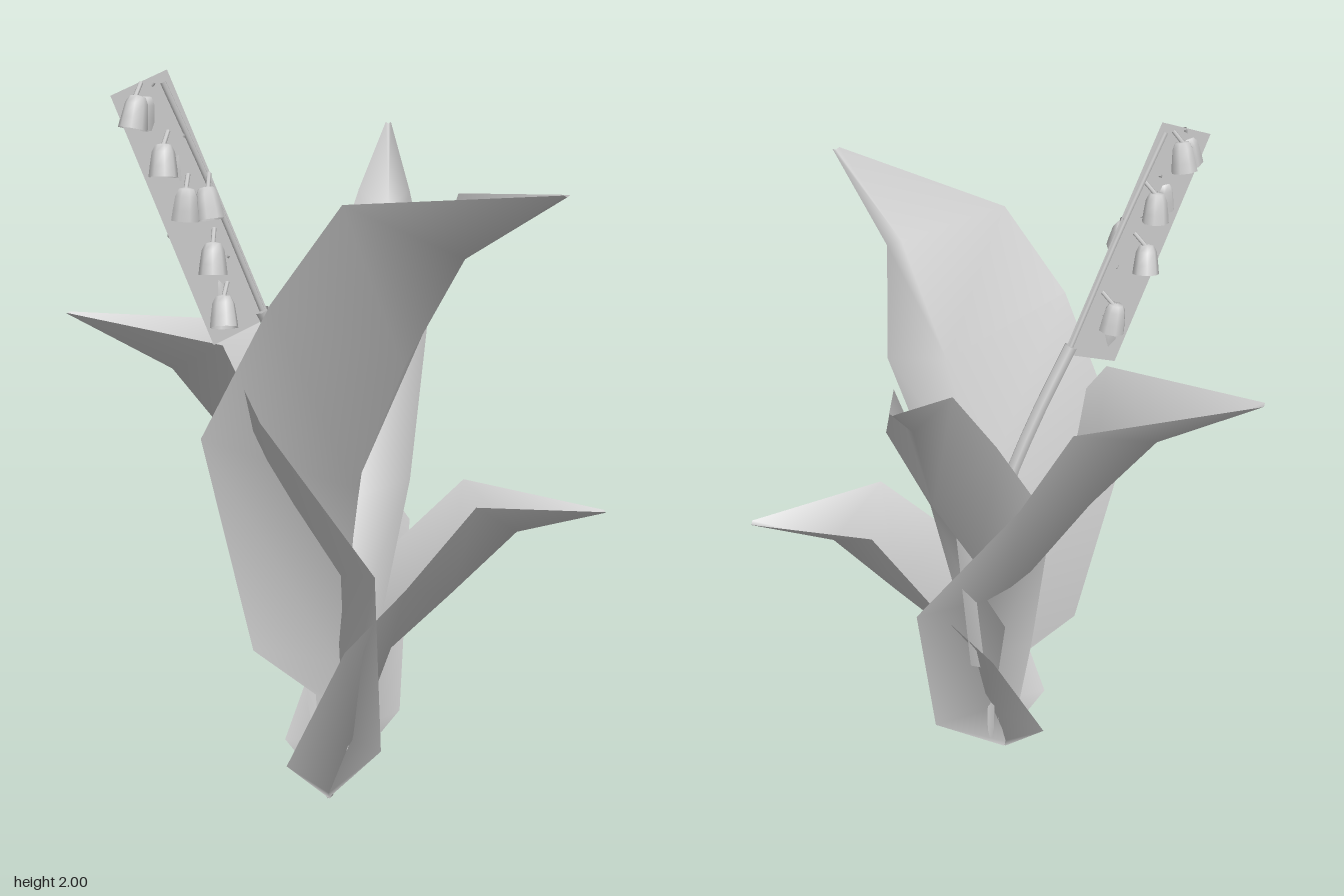
import * as THREE from 'three';

const mat = new THREE.MeshStandardMaterial({ color: 0xcccccc, side: THREE.DoubleSide });
const BASE = new THREE.Vector3(-0.02, 0, 0.23);

function add(parent, name, geometry) {
  const mesh = new THREE.Mesh(geometry, mat);
  mesh.name = name;
  parent.add(mesh);
  return mesh;
}

// Folded leaf growing from the base towards (dx, dz).
// Each row: edge reach, edge height, half width, midrib reach, midrib height, sideways shift
function leafGeometry(dx, dz, rows) {
  const len = Math.hypot(dx, dz), ux = dx / len, uz = dz / len;
  const pos = [], index = [];
  const put = (r, y, w) => pos.push(BASE.x + ux * r - uz * w, y, BASE.z + uz * r + ux * w);
  rows.forEach(([r, y, w, mr, my, shift = 0], i) => {
    put(r, y, shift - w);
    put(mr, my, shift);
    put(r, y, shift + w);
    if (!i) return;
    const a = (i - 1) * 3, b = a + 3;
    index.push(a, b, a + 1, a + 1, b, b + 1, a + 1, b + 1, b + 2, a + 1, b + 2, a + 2);
  });
  const g = new THREE.BufferGeometry();
  g.setAttribute('position', new THREE.Float32BufferAttribute(pos, 3));
  g.setIndex(index);
  g.computeVertexNormals();
  return g;
}

const frontRows = [
  [0, 0.02, 0.02, 0.01, 0.02],
  [0, 0.31, 0.05, 0.03, 0.28],
  [-0.085, 0.45, 0.2, 0.03, 0.4],
  [-0.16, 1.04, 0.31, 0.1, 0.9],
  [0.127, 1.43, 0.315, 0.28, 1.25],
  [0.27, 1.68, 0.205, 0.49, 1.55],
  [0.81, 1.73, 0.012, 0.81, 1.725],
];

const rightRows = [
  [0, 0, 0.02, 0.01, 0],
  [-0.165, 0.19, 0.16, -0.03, 0.16, 0.04],
  [-0.165, 0.71, 0.295, 0.03, 0.62, 0.065],
  [0.13, 1.11, 0.297, 0.26, 0.97, 0.047],
  [0.245, 1.295, 0.2, 0.436, 1.19, 0.025],
  [0.72, 1.34, 0.012, 0.72, 1.335],
];

const backRows = [
  [0, 0.02, 0.02, 0.01, 0.02],
  [0, 0.4, 0.1, 0.05, 0.38, 0.02],
  [0.07, 0.9, 0.18, 0.2, 0.8, 0.03],
  [0.44, 1.36, 0.15, 0.52, 1.2, 0.065],
  [0.65, 1.62, 0.075, 0.74, 1.56, 0.047],
  [1.04, 1.79, 0.008, 1.04, 1.785],
];

const leftRows = [
  [0, 0, 0.02, 0.01, 0],
  [-0.12, 0.13, 0.1, 0.07, 0.15],
  [0.03, 0.5, 0.245, 0.17, 0.43],
  [0.19, 0.66, 0.22, 0.33, 0.58],
  [0.38, 0.865, 0.155, 0.51, 0.755],
  [0.75, 0.81, 0.012, 0.75, 0.805],
];

// Point on the upright flower panel's plane, pushed off it by d
const panelPoint = (x, y, d = 0) =>
  new THREE.Vector3(x + 0.52 * d, y, 0.45 - 0.615 * (x + 0.41) + 0.85 * d);

const tube = (points, radius, segments) =>
  new THREE.TubeGeometry(new THREE.CatmullRomCurve3(points), segments, radius, 6);

export function createModel() {
  const model = new THREE.Group();
  model.name = 'floweringPlant';

  // Leaves
  add(model, 'frontLeaf', leafGeometry(0.57, 0.57, frontRows));
  add(model, 'rightLeaf', leafGeometry(-0.71, -0.11, rightRows));
  add(model, 'backLeaf', leafGeometry(0.145, -1.03, backRows));
  add(model, 'leftLeaf', leafGeometry(0.75, -0.06, leftRows));

  // Flower stalk
  const v = (x, y, z) => new THREE.Vector3(x, y, z);
  add(model, 'stalk', tube([v(0.03, 0.05, 0.2), v(0.02, 0.5, 0.2), v(-0.02, 0.95, 0.2),
    v(-0.1, 1.18, 0.25), panelPoint(-0.19, 1.38)], 0.02, 14));
  add(model, 'stalkTip', tube([panelPoint(-0.19, 1.38), panelPoint(-0.31, 1.7),
    panelPoint(-0.42, 1.97)], 0.008, 6));

  // Thin panel behind the blossoms
  const panel = new THREE.BufferGeometry().setFromPoints([
    panelPoint(-0.31, 1.3), panelPoint(-0.17, 1.36), panelPoint(-0.41, 2), panelPoint(-0.54, 1.94)]);
  panel.setIndex([0, 1, 2, 0, 2, 3]);
  panel.computeVertexNormals();
  add(model, 'flowerPanel', panel);

  // Hanging bells on both faces of the panel: x, y, offset
  const bell = new THREE.LatheGeometry(
    [[0.001, 0.042], [0.02, 0.038], [0.029, 0.02], [0.034, -0.015], [0.037, -0.042]]
      .map(([r, y]) => new THREE.Vector2(r, y)), 8);
  const spots = [
    [-0.49, 1.9, 0.015], [-0.43, 1.78, 0.02], [-0.385, 1.67, 0.035], [-0.335, 1.67, 0.04],
    [-0.325, 1.53, 0.04], [-0.295, 1.39, 0.025],
    [-0.46, 1.9, -0.02], [-0.39, 1.77, -0.03], [-0.37, 1.62, -0.03], [-0.29, 1.46, -0.03],
  ];
  spots.forEach(([x, y, d], i) => {
    const blossom = new THREE.Group();
    blossom.name = 'blossom';
    const m = add(blossom, 'bell', bell);
    m.position.copy(panelPoint(x, y, d));
    m.rotation.set(-Math.sign(d) * 0.15, i, (i % 3 - 1) * 0.15);
    add(blossom, 'bellStem', tube([panelPoint(x, y + 0.035, d), panelPoint(x + 0.02, y + 0.07)], 0.006, 1));
    model.add(blossom);
  });

  return model;
}
